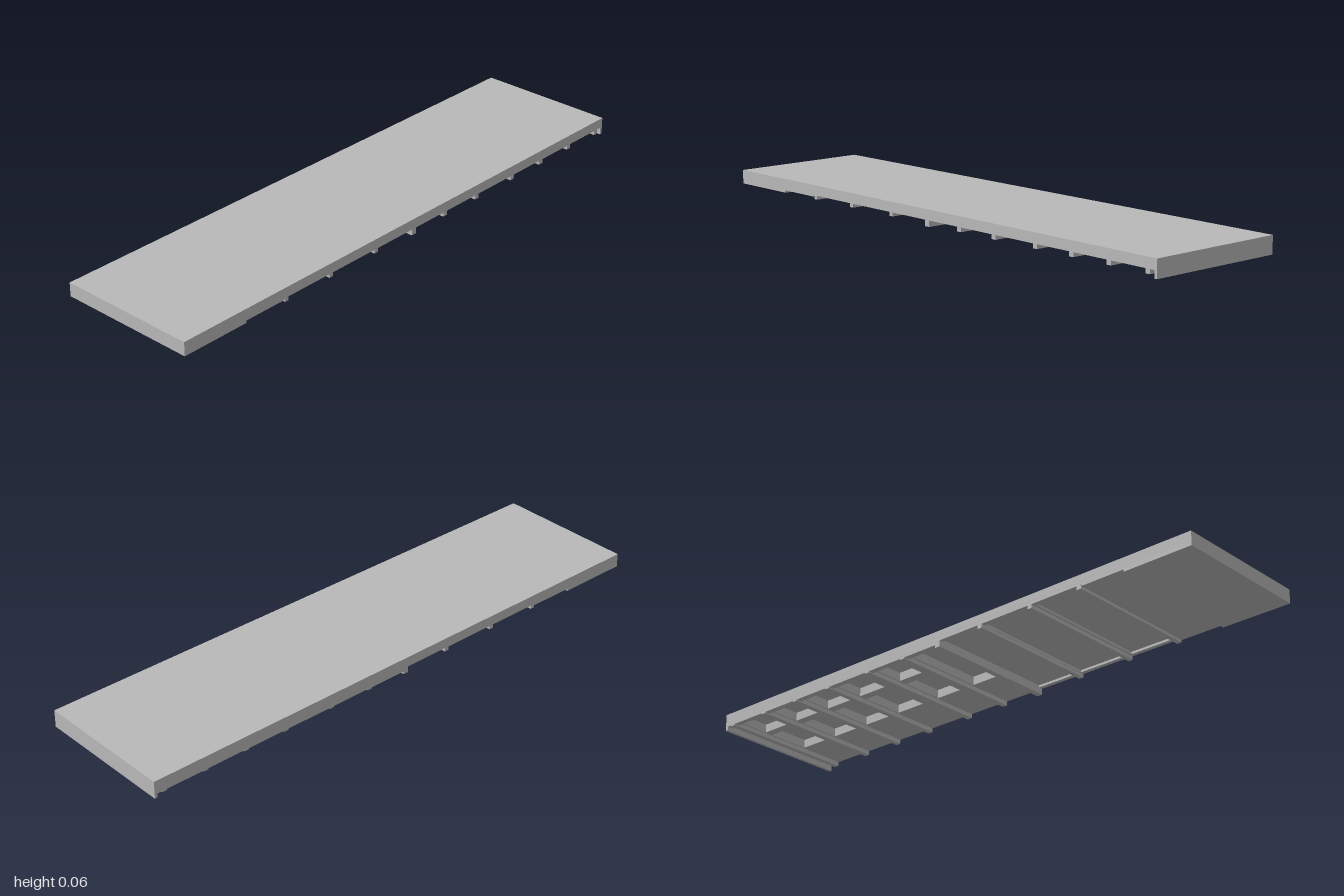
import * as THREE from 'three';

const grey = new THREE.MeshStandardMaterial({ color: 0xb9b9b9 });
grey.name = 'plain grey';

const HALF_W = 0.25;

// Horizontal plate between two heights, with rectangular holes [x0, x1, z0, z1]
function plate(name, y0, y1, holes) {
  const outline = new THREE.Shape();
  outline.moveTo(-HALF_W, -1).lineTo(HALF_W, -1).lineTo(HALF_W, 1).lineTo(-HALF_W, 1);
  outline.closePath();
  for (const [x0, x1, z0, z1] of holes) {
    const hole = new THREE.Path();
    hole.moveTo(x0, -z0).lineTo(x0, -z1).lineTo(x1, -z1).lineTo(x1, -z0);
    hole.closePath();
    outline.holes.push(hole);
  }
  const geo = new THREE.ExtrudeGeometry(outline, { depth: y1 - y0, bevelEnabled: false });
  geo.rotateX(-Math.PI / 2).translate(0, y0, 0);
  const mesh = new THREE.Mesh(geo, grey);
  mesh.name = name;
  return mesh;
}

function box(name, x0, x1, y0, y1, z0, z1) {
  const geo = new THREE.BoxGeometry(x1 - x0, y1 - y0, z1 - z0);
  geo.translate((x0 + x1) / 2, (y0 + y1) / 2, (z0 + z1) / 2);
  const mesh = new THREE.Mesh(geo, grey);
  mesh.name = name;
  return mesh;
}

export function createModel() {
  const model = new THREE.Group();
  model.name = 'ribbedSlab';

  // Deep pockets under the back half, two per bay except in the first
  const bays = [[-0.14, -0.03], [-0.3, -0.2], [-0.485, -0.37], [-0.64, -0.53], [-0.795, -0.69], [-0.95, -0.845]];
  const deep = [];
  bays.forEach(([z0, z1], i) => {
    if (i === 0) deep.push([-0.23, 0.075, z0, z1]);
    else deep.push([-0.08, 0.075, z0, z1], [-0.23, -0.11, z0, z1]);
  });

  // Shallow panels under the front half
  const shallow = [[0.01, 0.17], [0.19, 0.38], [0.4, 0.57]].map(([z0, z1]) => [-0.235, 0.235, z0, z1]);

  // Slab in three layers
  model.add(plate('topSkin', 0.055, 0.06, []));
  model.add(plate('slabCore', 0.033, 0.055, deep));
  model.add(plate('slabUnderside', 0.025, 0.033, [...deep, ...shallow]));

  // Thicker front end, stepped
  model.add(box('frontPad', -HALF_W, HALF_W, 0.012, 0.025, 0.75, 1));
  model.add(box('frontStep', -HALF_W, HALF_W, 0.02, 0.025, 0.59, 0.75));

  // Cross ribs
  for (const z of [0.58, 0.385, 0.18]) {
    model.add(box('frontRib', -HALF_W, HALF_W, 0.012, 0.025, z - 0.008, z + 0.008));
  }
  model.add(box('middleRib', -HALF_W, HALF_W, 0.004, 0.025, -0.01, 0.01));
  for (const [z0] of bays) {
    model.add(box('backRib', -HALF_W, HALF_W, 0.01, 0.025, z0 - 0.023, z0 - 0.005));
  }

  // Edge rail on the right side and lip at the back
  model.add(box('edgeRail', -HALF_W, -0.23, 0.014, 0.025, -1, 0));
  model.add(box('backLip', -HALF_W, HALF_W, 0, 0.025, -1, -0.99));

  return model;
}
